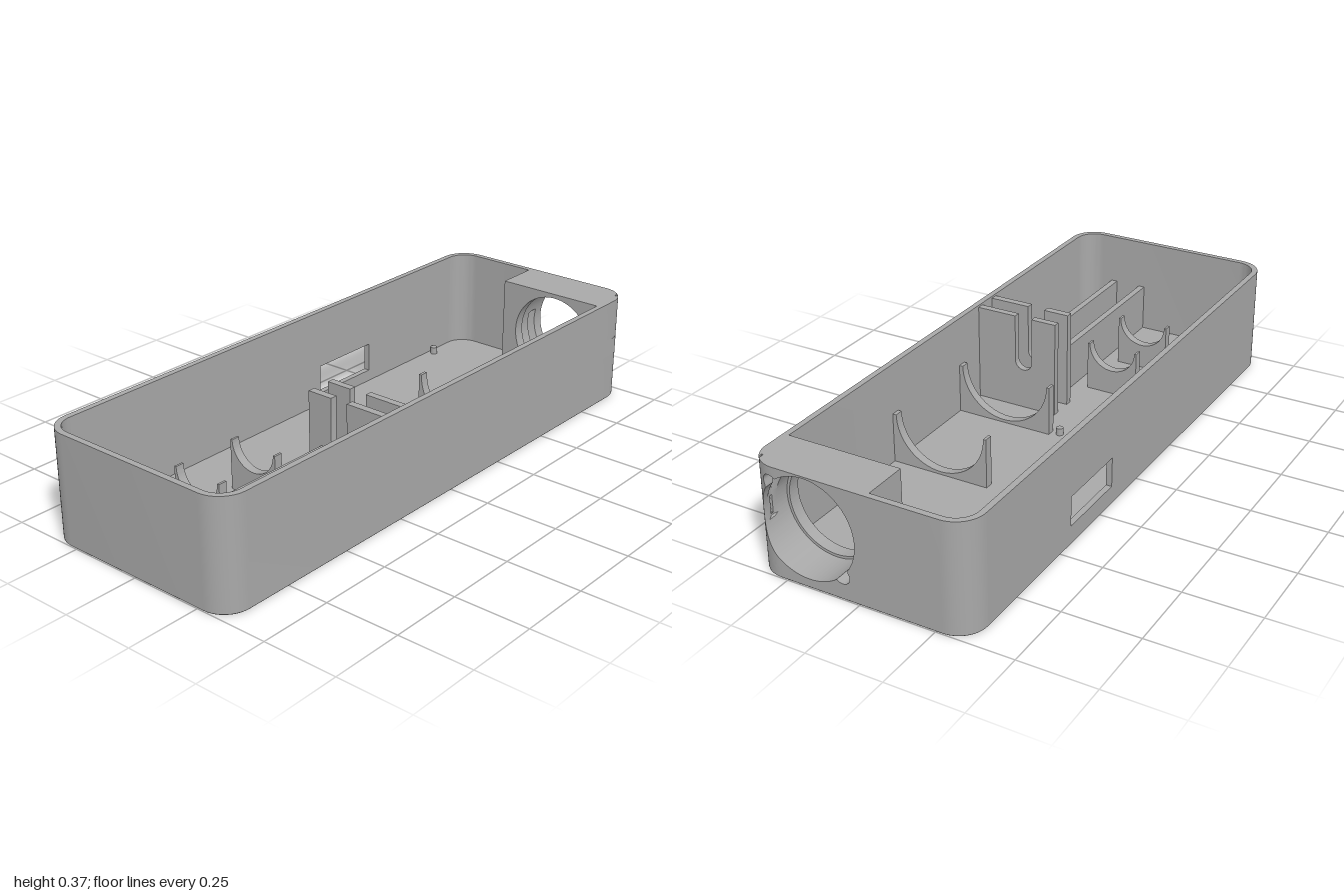
import * as THREE from 'three';
import { toCreasedNormals } from 'three/addons/utils/BufferGeometryUtils.js';

const TOP = 0.365, BASE = 0.006, FLOOR = 0.025;
const HX = 1, HZ = 0.363, R = 0.09, WALL = 0.02;
const CX = HX - R, CZ = HZ - R; // corner centres
const HOLE_Y = 0.195, HOLE_Z = 0.17;

const V = (x, y) => new THREE.Vector2(x, y);
const deg = THREE.MathUtils.degToRad;

// Arc points in plan (x, z), angles in degrees from +x towards +z
function arc(cx, cz, r, a0, a1, n = 12) {
  return Array.from({ length: n + 1 }, (_, i) => {
    const a = deg(a0 + (a1 - a0) * i / n);
    return [cx + r * Math.cos(a), cz + r * Math.sin(a)];
  });
}

// Rounded rectangle in plan
function roundedPlan(inset) {
  const r = R - inset;
  return [...arc(CX, CZ, r, 0, 90), ...arc(-CX, CZ, r, 90, 180),
    ...arc(-CX, -CZ, r, 180, 270), ...arc(CX, -CZ, r, 270, 360)];
}

// Where the rounded end surface lies for a given z
function endX(z) {
  return z > CZ ? CX + Math.sqrt(Math.max(0, R * R - (z - CZ) ** 2)) : HX;
}

// Lens socket block: one closed loft around the bore, from loops of points
function socketGeometry() {
  const z0 = -0.04, z1 = 0.336, bore = 0.164, lip = 0.155;
  const angles = Array.from({ length: 180 }, (_, i) => deg(i * 2 - 180 + 0.5));
  for (const z of [z0, z1]) for (const y of [BASE, TOP]) angles.push(Math.atan2(y - HOLE_Y, z - HOLE_Z));
  angles.sort((a, b) => a - b);
  const n = angles.length;

  const outline = a => {
    const c = Math.cos(a), s = Math.sin(a);
    return Math.min((c > 0 ? z1 - HOLE_Z : z0 - HOLE_Z) / c, (s > 0 ? TOP - HOLE_Y : BASE - HOLE_Y) / s);
  };
  // Bore with two round entry notches
  const notched = a => {
    const d = 0.165, r = 0.025;
    let out = bore;
    for (const m of [45, -135]) {
      const o = a - deg(m), k = r * r - (d * Math.sin(o)) ** 2;
      if (Math.cos(o) > 0 && k > 0) out = Math.max(out, d * Math.cos(o) + Math.sqrt(k));
    }
    return out;
  };
  // Twist-lock groove over two sectors
  const groove = a => {
    const t = ((a * 180 / Math.PI + 12) % 180 + 180) % 180;
    return t < 62 ? Math.min(0.19, outline(a) - 0.0005) : bore;
  };
  const plain = () => bore, inner = () => lip;
  const rings = [[inner, 0.83], [outline, 0.83], [outline, 0.935], [outline, 0.945], [outline, null]];
  for (let k = 1; k <= 8; k++) rings.push([a => THREE.MathUtils.lerp(outline(a), notched(a), k / 8), null]);
  rings.push([notched, 0.96], [groove, 0.945], [groove, 0.935], [plain, 0.92], [plain, 0.87], [inner, 0.87]);

  const pos = [], idx = [];
  for (const [rad, x] of rings) for (const a of angles) {
    const z = HOLE_Z + rad(a) * Math.cos(a), y = HOLE_Y + rad(a) * Math.sin(a);
    pos.push(x === null ? endX(z) : x, y, z);
  }
  const m = rings.length;
  for (let k = 0; k < m; k++) for (let i = 0; i < n; i++) {
    const j = (i + 1) % n, q = (k + 1) % m;
    // small opening where the groove meets the front side
    const gap = (k === 2 || k === 14) && Math.abs(angles[i]) < deg(10);
    if (gap) continue;
    const a = k * n + i, b = k * n + j, c = q * n + j, d = q * n + i;
    idx.push(a, d, c, a, c, b);
  }
  const g = new THREE.BufferGeometry();
  g.setAttribute('position', new THREE.Float32BufferAttribute(pos, 3));
  g.setIndex(idx);
  return toCreasedNormals(g, 0.5);
}

export function createModel() {
  const group = new THREE.Group();
  const grey = new THREE.MeshStandardMaterial({ color: 0xa8a8a8 });
  grey.name = 'grey plastic';

  function add(name, geo) {
    const mesh = new THREE.Mesh(geo, grey);
    mesh.name = name;
    group.add(mesh);
    return mesh;
  }
  // Upright prism from a plan outline of [x, z] points
  function prism(name, plan, y0, y1, bevel = 0) {
    const g = new THREE.ExtrudeGeometry(new THREE.Shape(plan.map(([x, z]) => V(x, -z))), {
      depth: y1 - y0 - 2 * bevel, bevelEnabled: bevel > 0, bevelThickness: bevel, bevelSize: bevel,
      bevelOffset: -bevel, bevelSegments: 3,
    });
    g.rotateX(-Math.PI / 2).translate(0, y0 + bevel, 0);
    return add(name, toCreasedNormals(g, 0.5));
  }
  // Upright plate from a [z, y] outline, spanning x0 to x1
  function crossPlate(name, pts, x0, x1) {
    const g = new THREE.ExtrudeGeometry(new THREE.Shape(pts.map(([z, y]) => V(z, y))),
      { depth: x1 - x0, bevelEnabled: false });
    g.rotateY(-Math.PI / 2).translate(x1, 0, 0);
    return add(name, toCreasedNormals(g, 0.5));
  }
  function box(name, x0, x1, y0, y1, z0, z1) {
    const g = new THREE.BoxGeometry(x1 - x0, y1 - y0, z1 - z0);
    add(name, g.translate((x0 + x1) / 2, (y0 + y1) / 2, (z0 + z1) / 2));
  }

  // Base with a softened lower edge, and the floor inside
  prism('base', roundedPlan(0), 0, 0.0125, 0.006);
  prism('floor', roundedPlan(0.01), BASE, FLOOR);

  // Walls
  const r = R - WALL, zi = HZ - WALL;
  prism('frontAndLeftWall', [[0.83, HZ], ...arc(-CX, CZ, R, 90, 180), ...arc(-CX, -CZ, R, 180, 270),
    ...arc(-CX, -CZ, r, 270, 180), ...arc(-CX, CZ, r, 180, 90), [0.83, zi]], BASE, TOP);
  prism('backCornerWall', [...arc(CX, -CZ, R, 270, 360), [HX, -0.04], [HX - WALL, -0.04],
    ...arc(CX, -CZ, r, 360, 270)], BASE, TOP);

  // Back wall with its port opening
  const back = new THREE.Shape([V(-CX, BASE), V(CX, BASE), V(CX, TOP), V(-CX, TOP)]);
  back.holes.push(new THREE.Path([V(0.18, 0.065), V(0.18, 0.165), V(0.44, 0.165), V(0.44, 0.065)]));
  add('backWall', new THREE.ExtrudeGeometry(back, { depth: WALL, bevelEnabled: false }).translate(0, 0, -HZ));

  // Socket block and the skin in front of it, with a slit and a small opening
  add('socketBlock', socketGeometry());
  const slitAngle = Math.asin((0.342 - CZ) / R) * 180 / Math.PI;
  const tip = [[0.955, 0.336], [0.955, 0.342], ...arc(CX, CZ, R, slitAngle, 90, 10)];
  const full = [[0.83, 0.336], ...tip, [0.83, HZ]];
  prism('socketSkinLower', full, BASE, 0.165);
  prism('socketSkinUpper', full, 0.225, TOP);
  box('socketSkinMiddle', 0.83, 0.935, 0.165, 0.225, 0.336, HZ);
  const cutZ = CZ + Math.sqrt(R * R - 0.035 ** 2);
  prism('socketSkinTip', [[0.945, 0.336], [0.955, 0.336], [0.955, 0.342],
    ...arc(CX, CZ, R, slitAngle, Math.asin((cutZ - CZ) / R) * 180 / Math.PI, 8)], 0.165, 0.225);

  // Round cradles
  function cradle(name, x, z0, z1, cz, rad) {
    const bow = arc(cz, HOLE_Y, rad, 0, -180, 32);
    crossPlate(name, [[z0, 0.02], [z1, 0.02], [z1, HOLE_Y], ...bow, [z0, HOLE_Y]], x - 0.015, x + 0.015);
  }
  for (const x of [-0.09, 0.305]) cradle('largeCradle', x, 0, zi, HOLE_Z, 0.16);
  for (const x of [-0.69, -0.455]) cradle('smallCradle', x, -0.135, 0.05, -0.0425, 0.085);

  // Slotted upright plates
  const slot = arc(HOLE_Z, 0.196, 0.031, 0, -180, 20);
  for (const [x0, x1] of [[-0.315, -0.29], [-0.227, -0.203]]) {
    crossPlate('slottedPlate', [[0.05, 0.02], [zi, 0.02], [zi, 0.358], [HOLE_Z + 0.031, 0.358],
      ...slot, [HOLE_Z - 0.031, 0.358], [0.05, 0.358]], x0, x1);
  }

  // Long guide rails
  for (const z of [0.1, 0.213]) box('guideRail', -0.985, -0.31, 0.02, 0.19, z, z + 0.022);

  // Circuit board pins
  for (const [x, z] of [[-0.095, -0.03], [0.79, -0.03], [0.79, -0.32]]) {
    add('boardPin', new THREE.CylinderGeometry(0.012, 0.012, 0.03, 20)).position.set(x, 0.035, z);
  }
  return group;
}
